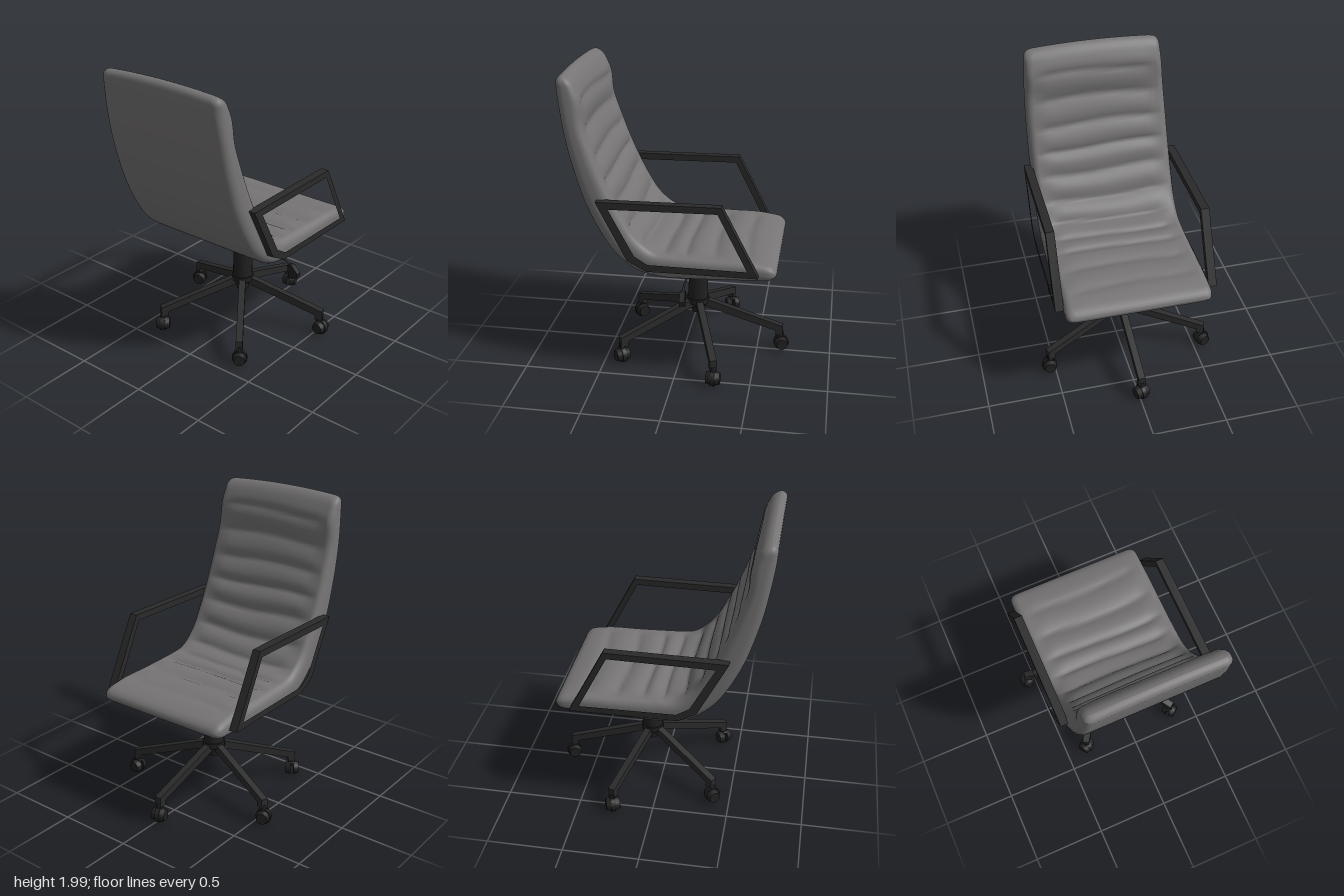
import * as THREE from 'three';

const seatGrey = new THREE.MeshStandardMaterial({ color: 0x767475 });
seatGrey.name = 'seatGrey';
const frameBlack = new THREE.MeshStandardMaterial({ color: 0x2a2a2a });
frameBlack.name = 'frameBlack';
const plasticBlack = new THREE.MeshStandardMaterial({ color: 0x202020 });
plasticBlack.name = 'plasticBlack';

const CX = -0.01, CZ = -0.085; // axis of the column

function add(parent, name, geometry, material, x = 0, y = 0, z = 0) {
  const mesh = new THREE.Mesh(geometry, material);
  mesh.name = name;
  mesh.position.set(x, y, z);
  parent.add(mesh);
  return mesh;
}

// Extrude a profile and centre it on its thickness
function slab(points, thickness, hole) {
  const shape = new THREE.Shape(points.map(p => new THREE.Vector2(p[0], p[1])));
  if (hole) shape.holes.push(new THREE.Path(hole.map(p => new THREE.Vector2(p[0], p[1]))));
  const g = new THREE.ExtrudeGeometry(shape, { depth: thickness, bevelEnabled: false });
  return g.translate(0, 0, -thickness / 2);
}

// Profiles given as [z, y], thickness along x
const sideSlab = (points, thickness, hole) => {
  const flip = list => list && list.map(([z, y]) => [-z, y]);
  return slab(flip(points), thickness, flip(hole)).rotateY(Math.PI / 2);
};

// Padded shell: rounded sections swept between an outer and an inner side curve
function shellGeometry() {
  const outer = [[0.735, 2.0], [0.725, 1.86], [0.7, 1.69], [0.67, 1.53], [0.625, 1.36], [0.57, 1.19], [0.48, 1.0],
    [0.38, 0.853], [0.25, 0.75], [0.1, 0.708], [-0.08, 0.705], [-0.27, 0.712], [-0.46, 0.72], [-0.645, 0.73]];
  const inner = [[0.645, 1.995], [0.585, 1.84], [0.57, 1.68], [0.52, 1.52], [0.465, 1.37], [0.41, 1.24], [0.335, 1.09],
    [0.25, 0.96], [0.14, 0.875], [0.02, 0.86], [-0.1, 0.855], [-0.27, 0.85], [-0.46, 0.848], [-0.645, 0.82]];
  const curve = pts => new THREE.CatmullRomCurve3(pts.map(([z, y]) => new THREE.Vector3(0, y, z)));
  const co = curve(outer), ci = curve(inner);
  const widths = new THREE.SplineCurve([0.457, 0.474, 0.484, 0.487, 0.485, 0.483, 0.481, 0.478]
    .map((w, i) => new THREE.Vector2(i, w)));

  // Section loop: flat runs joined by rounded corners, as [corner x sign, inset x, v]
  const loop = [];
  const flat = 20;
  const corner = (sx, sv, from) => {
    for (let k = 0; k <= 6; k++) {
      const a = from + (k / 6) * Math.PI / 2;
      loop.push({ s: sx, off: 0.05 * Math.cos(a), v: 0.5 + sv * 0.1 + 0.4 * Math.sin(a) });
    }
  };
  for (let k = 1; k < flat; k++) loop.push({ s: -1 + 2 * k / flat, off: 0, v: 0 });
  corner(1, -1, -Math.PI / 2);
  corner(1, 1, 0);
  for (let k = 1; k < flat; k++) loop.push({ s: 1 - 2 * k / flat, off: 0, v: 1 });
  corner(-1, 1, Math.PI / 2);
  corner(-1, -1, Math.PI);

  const cap = 0.025;
  const rows = [0, 0.0012, 0.004, 0.009, 0.016];
  for (let k = 0; k <= 110; k++) rows.push(cap + (1 - 2 * cap) * k / 110);
  rows.push(0.984, 0.991, 0.996, 0.9988, 1);

  const pos = [], index = [], n = loop.length;
  rows.forEach(t => {
    const d = Math.min(1, Math.min(t, 1 - t) / cap);
    const f = Math.sqrt(Math.max(0, 1 - (1 - d) ** 2));
    const o = co.getPoint(t), i = ci.getPoint(t);
    const w = widths.getPoint(t).y - 0.045 * (1 - f);
    loop.forEach(({ s, off, v }) => {
      const x = s * (w - 0.05) + off;
      // Soft horizontal pleats on the sitting side, fading to the edges
      let vv = 0.5 + (v - 0.5) * f;
      if (v > 0.95) {
        const fade = Math.min(1, (1 - Math.abs(s)) * 5) * d * Math.min(1, Math.min(t, 1 - t) * 12);
        const tt = t + 0.006 * Math.sin(6 * x + 9 * t);
        vv += fade * 0.17 * (Math.pow(Math.abs(Math.sin(Math.PI * 12 * tt)), 0.8) - 0.6);
      }
      const bow = t < 0.1 ? -0.02 * (1 - t / 0.1) * (x / 0.46) ** 2 : 0;
      pos.push(x - 0.006, o.y + (i.y - o.y) * vv + bow, o.z + (i.z - o.z) * vv);
    });
  });
  for (let r = 0; r < rows.length - 1; r++) {
    for (let j = 0; j < n; j++) {
      const a = r * n + j, b = r * n + (j + 1) % n;
      index.push(a, a + n, b, b, a + n, b + n);
    }
  }
  const g = new THREE.BufferGeometry();
  g.setAttribute('position', new THREE.Float32BufferAttribute(pos, 3));
  g.setIndex(index);
  g.computeVertexNormals();
  return g;
}

// Twin-wheel caster with a hood between the wheels
function makeCaster() {
  const caster = new THREE.Group();
  caster.name = 'caster';
  for (const s of [-1, 1]) {
    const wheel = new THREE.CylinderGeometry(s > 0 ? 0.038 : 0.049, s > 0 ? 0.049 : 0.038, 0.036, 14).rotateX(Math.PI / 2);
    add(caster, 'casterWheel', wheel, plasticBlack, 0, 0.059, s * 0.028);
  }
  const hood = new THREE.CylinderGeometry(0.054, 0.054, 0.03, 14, 1, false, 0, Math.PI * 1.2).rotateX(Math.PI / 2);
  add(caster, 'casterHood', hood, plasticBlack, 0, 0.06, 0);
  add(caster, 'casterStem', new THREE.CylinderGeometry(0.018, 0.018, 0.07, 10), plasticBlack, 0, 0.11, 0);
  return caster;
}

export function createModel() {
  const chair = new THREE.Group();
  chair.name = 'officeChair';
  add(chair, 'paddedShell', shellGeometry(), seatGrey);

  // Armrest frames
  const armOuter = [[0.485, 1.222], [-0.3, 1.23], [-0.535, 0.775], [0.17, 0.775], [0.29, 0.84]];
  const armInner = [[0.405, 1.178], [-0.278, 1.187], [-0.467, 0.817], [0.16, 0.822], [0.245, 0.875]];
  for (const s of [-1, 1]) add(chair, s > 0 ? 'leftArm' : 'rightArm', sideSlab(armOuter, 0.056, armInner), frameBlack, s * 0.505 - 0.008);

  // Central column
  const column = new THREE.Group();
  column.name = 'column';
  column.position.set(CX, 0, CZ);
  chair.add(column);
  const tube = (name, r0, r1, y0, y1, mat) =>
    add(column, name, new THREE.CylinderGeometry(r1, r0, y1 - y0, 20), mat, 0, (y0 + y1) / 2, 0);
  tube('hub', 0.042, 0.05, 0.262, 0.34, plasticBlack);
  tube('hubCollar', 0.076, 0.076, 0.33, 0.368, plasticBlack);
  tube('columnSleeve', 0.068, 0.064, 0.368, 0.572, plasticBlack);
  tube('gasLift', 0.046, 0.046, 0.57, 0.66, plasticBlack);

  // Five spokes with casters
  const spoke = [[0.02, 0.372], [0.59, 0.19], [0.59, 0.122], [0.54, 0.122], [0.54, 0.155], [0.02, 0.315]];
  const swivels = [0.3, 0.7, 1.25, 1.6, -0.35];
  for (let k = 0; k < 5; k++) {
    const leg = new THREE.Group();
    leg.name = 'baseLeg';
    leg.position.set(CX, 0, CZ);
    leg.rotation.y = Math.PI / 2 + k * Math.PI * 2 / 5;
    add(leg, 'spoke', slab(spoke, 0.046), frameBlack);
    const caster = makeCaster();
    caster.position.x = 0.577;
    caster.rotation.y = swivels[k];
    leg.add(caster);
    chair.add(leg);
  }

  // Tilt mechanism under the seat
  add(chair, 'tiltPlate', sideSlab([[0.11, 0.712], [0.11, 0.685], [0.03, 0.662], [-0.16, 0.662], [-0.35, 0.685], [-0.35, 0.718]], 0.17), plasticBlack, CX);
  add(chair, 'tiltHousing', sideSlab([[0, 0.68], [-0.04, 0.635], [-0.14, 0.635], [-0.18, 0.68]], 0.13), plasticBlack, CX);
  const knob = new THREE.Group();
  knob.name = 'tensionKnob';
  knob.position.set(CX, 0.62, -0.295);
  knob.rotation.x = 0.38;
  add(knob, 'knobNeck', new THREE.CylinderGeometry(0.036, 0.036, 0.1, 14), plasticBlack, 0, 0.05, 0);
  add(knob, 'knobGrip', new THREE.CylinderGeometry(0.046, 0.052, 0.085, 14), plasticBlack, 0, -0.022, 0);
  chair.add(knob);

  // Height lever on the left
  const path = new THREE.CatmullRomCurve3([[0.04, 0.642], [0.2, 0.635], [0.36, 0.627], [0.4, 0.615], [0.425, 0.585]]
    .map(([x, y]) => new THREE.Vector3(x, y, -0.05)));
  add(chair, 'leverRod', new THREE.TubeGeometry(path, 24, 0.007, 8), frameBlack);
  const paddle = slab([[0.405, 0.6], [0.425, 0.612], [0.445, 0.605], [0.487, 0.56], [0.485, 0.53], [0.44, 0.508], [0.415, 0.53]], 0.035);
  add(chair, 'leverPaddle', paddle, plasticBlack, 0, 0, -0.05);

  return chair;
}
